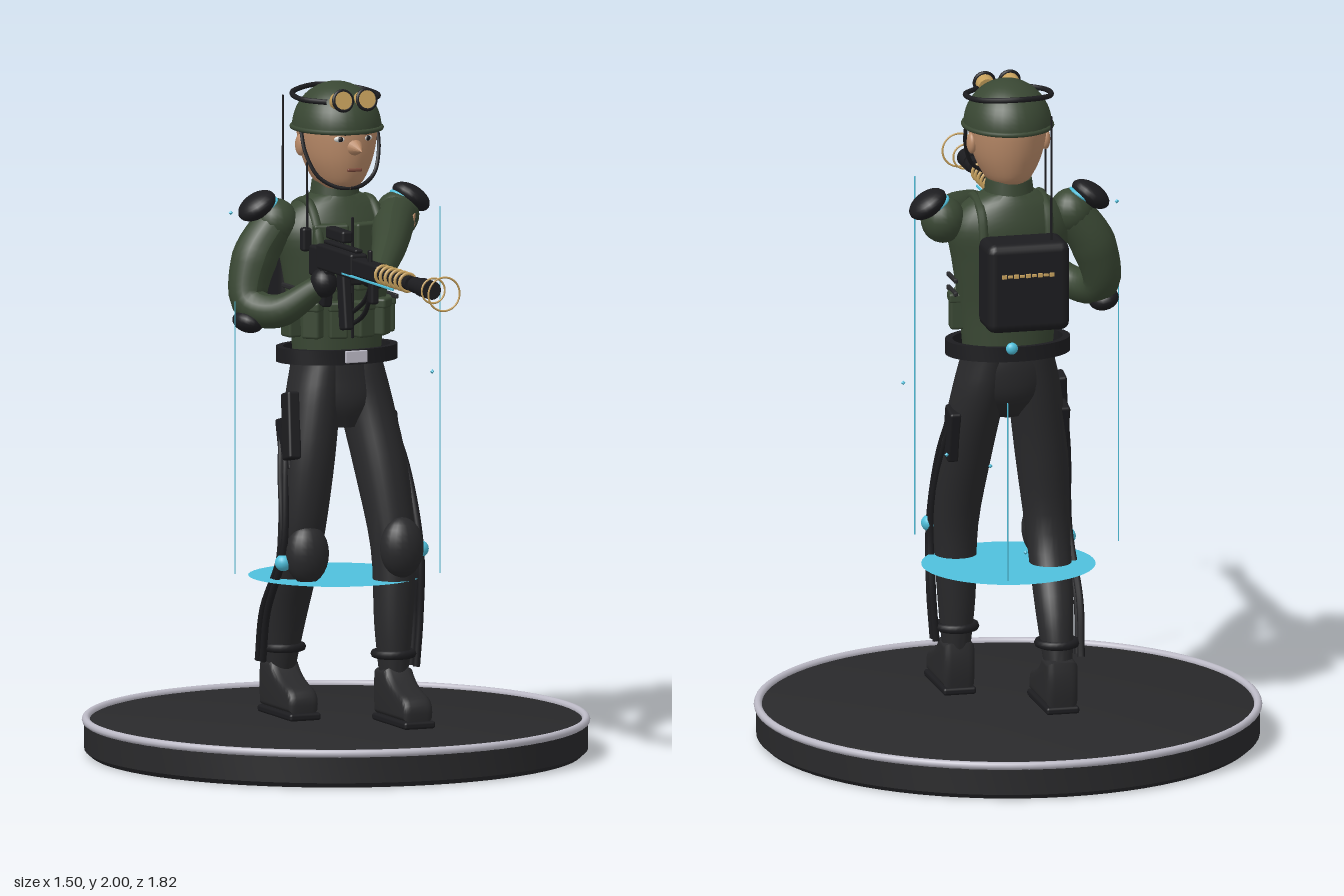
import * as THREE from 'three';
import { toCreasedNormals } from 'three/addons/utils/BufferGeometryUtils.js';
import { RoundedBoxGeometry } from 'three/addons/geometries/RoundedBoxGeometry.js';

const mat = (name, color, side = THREE.FrontSide) => Object.assign(new THREE.MeshStandardMaterial({ color, side }), { name });
const GREEN = mat('olive cloth', 0x394733), DARK = mat('charcoal cloth', 0x29292b), BLACK = mat('black metal', 0x1c1c1f);
const SKIN = mat('skin', 0xb98a68), GOLD = mat('brass', 0xc6a05c), RIM = mat('pale metal', 0xbcbac6);
const CYAN = mat('cyan glow', 0x4fc0dc, THREE.DoubleSide), WHITE = mat('eye white', 0xd8d8d4), LIP = mat('lips', 0x7c4a3c);

const V = (a) => new THREE.Vector3(...a);
const box = (w, h, d, r = 0.008) => new RoundedBoxGeometry(w, h, d, 2, Math.min(r, w / 2.1, h / 2.1, d / 2.1));
const ball = (x, y, z) => new THREE.SphereGeometry(1, 20, 14).scale(x, y, z);
const rod = (r, len, r2 = r, n = 18) => new THREE.CylinderGeometry(r2, r, len, n).rotateX(Math.PI / 2);
const tube = (pts, r, n = 28) => new THREE.TubeGeometry(new THREE.CatmullRomCurve3(pts.map(V)), n, r, 8);

// Smooth body of horizontal ellipses; each section is [x, y, z, radiusX, radiusZ], bottom first
function loft(sections) {
  const centre = new THREE.CatmullRomCurve3(sections.map((s) => V(s.slice(0, 3))), false, 'catmullrom');
  const radius = new THREE.CatmullRomCurve3(sections.map((s) => V([s[3], s[4], 0])), false, 'catmullrom');
  const g = new THREE.CylinderGeometry(1, 1, 1, 28, (sections.length - 1) * 4);
  const p = g.attributes.position;
  for (let i = 0; i < p.count; i++) {
    const t = Math.min(1, Math.max(0, p.getY(i) + 0.5));
    const c = centre.getPoint(t), r = radius.getPoint(t);
    p.setXYZ(i, c.x + p.getX(i) * r.x, c.y, c.z + p.getZ(i) * r.y);
  }
  return toCreasedNormals(g, 0.9);
}

// Tube whose radius changes along its path
function limb(pts, radii, n = 24) {
  const curve = new THREE.CatmullRomCurve3(pts.map(V));
  const g = new THREE.TubeGeometry(curve, n, 1, 16);
  const p = g.attributes.position, v = new THREE.Vector3();
  for (let i = 0; i < p.count; i++) {
    const t = Math.floor(i / 17) / n, c = curve.getPointAt(t);
    const f = t * (radii.length - 1), k = Math.min(radii.length - 2, Math.floor(f));
    const r = THREE.MathUtils.lerp(radii[k], radii[k + 1], f - k);
    v.fromBufferAttribute(p, i).sub(c).multiplyScalar(r).add(c);
    p.setXYZ(i, v.x, v.y, v.z);
  }
  g.computeVertexNormals();
  return g;
}

export function createModel() {
  const root = new THREE.Group();
  root.name = 'soldierFigure';
  let group = root;
  const part = (name) => { group = new THREE.Group(); group.name = name; root.add(group); return group; };
  const add = (name, geo, material, pos = [0, 0, 0], rot = [0, 0, 0]) => {
    const m = new THREE.Mesh(geo, material);
    m.name = name;
    m.position.set(...pos);
    m.rotation.set(...rot);
    group.add(m);
    return m;
  };
  const sides = [1, -1];

  // Display base and rim
  part('base').position.z = -0.16;
  const profile = [[0, 0], [0.725, 0], [0.742, 0.015], [0.742, 0.095], [0.73, 0.1], [0, 0.1]].map((a) => new THREE.Vector2(...a));
  add('baseDisc', toCreasedNormals(new THREE.LatheGeometry(profile, 72), 0.5), DARK);
  add('baseRim', new THREE.TorusGeometry(0.737, 0.012, 10, 80).rotateX(Math.PI / 2), RIM, [0, 0.102, 0]);

  // Floating glow disc, thin beams and sparks
  part('glow');
  add('glowDisc', new THREE.CircleGeometry(0.257, 48).rotateX(-Math.PI / 2), CYAN, [0, 0.53, -0.165]);
  [[0.215, 0.115, 1.65], [-0.35, -0.1, 1.37], [0.08, -0.48, 1.1]].forEach(([x, z, top]) =>
    add('beam', new THREE.CylinderGeometry(0.002, 0.002, top - 0.56, 6), CYAN, [x, (top + 0.56) / 2, z]));
  [[0.33, 1.11, -0.21], [0.26, 0.95, -0.46], [0.05, 0.67, -0.58], [0.13, 0.91, -0.47], [-0.32, 1.62, -0.2]].forEach((p) =>
    add('spark', new THREE.OctahedronGeometry(0.007), CYAN, p));

  // Legs, boots and leg braces
  part('legs');
  add('pelvis', loft([[0, 0.98, -0.13, 0.05, 0.06], [0, 1.05, -0.145, 0.125, 0.1], [0, 1.13, -0.155, 0.14, 0.105], [0, 1.2, -0.155, 0.13, 0.1]]), DARK);
  const boot = new THREE.Shape();
  boot.moveTo(-0.04, 0.145);
  boot.lineTo(0.165, 0.145);
  boot.quadraticCurveTo(0.175, 0.185, 0.12, 0.195);
  boot.quadraticCurveTo(0.05, 0.215, 0.02, 0.255);
  boot.lineTo(-0.04, 0.25);
  boot.quadraticCurveTo(-0.05, 0.2, -0.04, 0.145);
  const bootGeo = new THREE.ExtrudeGeometry(boot, { depth: 0.05, bevelSize: 0.016, bevelThickness: 0.022, bevelSegments: 4, curveSegments: 8 })
    .translate(0, 0, -0.025).rotateY(-Math.PI / 2);
  for (const s of sides) {
    const front = s > 0;
    const [ankle, calf, knee, thigh] = front ? [-0.01, -0.012, -0.025, -0.08] : [-0.295, -0.245, -0.14, -0.125];
    const x = (v) => s * v;
    add('leg', loft([[x(0.12), 0.23, ankle, 0.04, 0.045], [x(0.12), 0.4, calf, 0.056, 0.06], [x(0.125), 0.62, knee, 0.066, 0.068],
      [x(0.11), 0.85, thigh, 0.078, 0.09], [x(0.085), 1.05, -0.14, 0.078, 0.1], [x(0.065), 1.17, -0.155, 0.07, 0.1]]), DARK);
    add('kneePad', ball(0.066, 0.09, 0.055), DARK, [x(0.127), front ? 0.63 : 0.61, knee + 0.06]);
    const footZ = front ? 0 : -0.295;
    add('boot', toCreasedNormals(bootGeo, 0.6), DARK, [x(0.12), 0, footZ]);
    add('sole', box(0.1, 0.022, 0.25), BLACK, [x(0.12), 0.12, footZ + 0.065]);
    add('ankleRing', new THREE.TorusGeometry(0.055, 0.013, 8, 24).rotateX(Math.PI / 2), BLACK, [x(0.12), 0.31, calf + (ankle - calf) * 0.6]);
    for (const d of [0, 0.035])
      add('legBrace', tube([[x(0.165), 1, -0.18 + d], [x(0.185), 0.85, thigh - 0.015 + d], [x(0.195), 0.62, knee + 0.025 + d / 2],
        [x(0.195), 0.42, calf - 0.01 + d], [x(0.185), 0.27, ankle - 0.015 + d]], 0.011), BLACK);
    add('kneeJoint', ball(0.025, 0.025, 0.025), CYAN, [x(0.195), front ? 0.62 : 0.585, knee + 0.04]);
    add('thighPouch', box(0.035, 0.16, 0.075), BLACK, [x(0.165), 0.93, -0.14], [-0.25, 0, 0]);
  }
  add('holster', box(0.04, 0.2, 0.06), BLACK, [-0.17, 0.99, -0.1], [-0.25, 0, -0.08]);

  // Torso, vest and belt
  part('torso');
  add('jacket', loft([[0, 1.19, -0.155, 0.135, 0.098], [0, 1.32, -0.155, 0.148, 0.1], [0, 1.46, -0.16, 0.17, 0.11],
    [0, 1.56, -0.165, 0.185, 0.11], [0, 1.63, -0.17, 0.14, 0.09], [0, 1.67, -0.17, 0.07, 0.07]]), GREEN);
  add('collar', new THREE.CylinderGeometry(0.068, 0.08, 0.09, 24), GREEN, [0, 1.66, -0.17]);
  const band = [[1, -0.022], [1, 0.022], [0.88, 0.022], [0.88, -0.022], [1, -0.022]].map((a) => new THREE.Vector2(...a));
  add('belt', toCreasedNormals(new THREE.LatheGeometry(band, 48), 0.6).scale(0.187, 1, 0.132), BLACK, [0, 1.195, -0.155]);
  add('buckle', box(0.07, 0.036, 0.012, 0.003), RIM, [0.005, 1.197, -0.021]);
  add('beltLight', ball(0.018, 0.018, 0.014), CYAN, [0.02, 1.215, -0.29]);
  for (const s of sides) {
    add('chestPanel', box(0.105, 0.2, 0.04), GREEN, [s * 0.06, 1.49, -0.06], [0, s * 0.25, 0]);
    add('vestStrap', tube([[s * 0.09, 1.42, -0.045], [s * 0.1, 1.56, -0.055], [s * 0.1, 1.645, -0.13], [s * 0.1, 1.62, -0.24], [s * 0.1, 1.5, -0.28]], 0.014), GREEN);
    for (const a of [0.27, 0.8, 1.45]) {
      const p = [s * 0.152 * Math.sin(a), 1.3, -0.155 + 0.108 * Math.cos(a)];
      add('pouch', box(0.056, 0.1, 0.045), GREEN, p, [0, s * a, 0]);
      add('pouchFlap', box(0.06, 0.03, 0.052), GREEN, [p[0], 1.345, p[2]], [0, s * a, 0]);
    }
    for (const y of [1.36, 1.4]) add('sideStrap', box(0.012, 0.014, 0.1, 0.004), DARK, [s * 0.162, y, -0.13]);
  }
  add('zipper', box(0.008, 0.36, 0.008, 0.002), BLACK, [0, 1.43, -0.038]);
  add('chestRadio', box(0.09, 0.06, 0.035), BLACK, [0.015, 1.44, -0.03]);
  add('chestAntenna', new THREE.CylinderGeometry(0.003, 0.004, 0.22, 8), BLACK, [-0.142, 1.67, -0.045]);
  add('antennaBase', box(0.03, 0.07, 0.03), BLACK, [-0.142, 1.55, -0.055]);

  // Backpack
  part('backpack');
  add('pack', box(0.25, 0.27, 0.145, 0.028), BLACK, [-0.005, 1.425, -0.338]);
  for (let i = 0; i < 9; i++) add('packTrim', box(0.015, i % 2 ? 0.009 : 0.013, 0.006, 0.002), GOLD, [-0.072 + i * 0.018, 1.465, -0.411]);
  add('packAntenna', new THREE.CylinderGeometry(0.003, 0.004, 0.4, 8), BLACK, [-0.08, 1.735, -0.37]);

  // Head and helmet
  part('head');
  add('face', loft([[0, 1.69, -0.145, 0.05, 0.08], [0, 1.715, -0.148, 0.072, 0.107], [0, 1.77, -0.15, 0.098, 0.128],
    [0, 1.83, -0.153, 0.112, 0.138], [0, 1.88, -0.155, 0.115, 0.138], [0, 1.92, -0.155, 0.1, 0.12]]), SKIN);
  add('nose', new THREE.ConeGeometry(0.026, 0.055, 14).rotateX(Math.PI / 2), SKIN, [0, 1.816, 0.005], [0.12, 0, 0]);
  add('mouth', box(0.046, 0.01, 0.01, 0.004), LIP, [0, 1.752, -0.022]);
  for (const s of sides) {
    add('eye', ball(0.017, 0.009, 0.007), WHITE, [s * 0.045, 1.845, -0.029], [0, s * 0.3, 0]);
    add('pupil', ball(0.008, 0.008, 0.005), BLACK, [s * 0.044, 1.845, -0.024], [0, s * 0.3, 0]);
    add('brow', box(0.042, 0.008, 0.01, 0.003), BLACK, [s * 0.047, 1.862, -0.025], [0, s * 0.4, s * 0.1]);
    add('ear', ball(0.014, 0.032, 0.024), SKIN, [s * 0.112, 1.815, -0.165]);
    add('chinStrap', tube([[s * 0.122, 1.87, -0.14], [s * 0.118, 1.8, -0.115], [s * 0.09, 1.73, -0.085], [s * 0.04, 1.698, -0.065], [0, 1.693, -0.06]], 0.006), BLACK);
    add('goggleLens', rod(0.027, 0.045), GOLD, [s * 0.038, 1.957, -0.037], [-0.2, 0, 0]);
    add('goggleFrame', new THREE.TorusGeometry(0.029, 0.006, 8, 24), BLACK, [s * 0.038, 1.96, -0.02], [-0.2, 0, 0]);
  }
  add('helmet', new THREE.SphereGeometry(1, 32, 14, 0, Math.PI * 2, 0, Math.PI / 2).scale(0.13, 0.137, 0.146), GREEN, [0, 1.863, -0.155]);
  add('helmetRim', new THREE.TorusGeometry(1, 0.06, 8, 40).rotateX(Math.PI / 2).scale(0.129, 0.12, 0.145), GREEN, [0, 1.865, -0.155]);
  add('helmetBand', tube([[0.07, 1.952, -0.06], [0.122, 1.955, -0.13], [0.105, 1.963, -0.24], [0, 1.972, -0.298],
    [-0.105, 1.963, -0.24], [-0.122, 1.955, -0.13], [-0.07, 1.952, -0.06]], 0.008, 48), BLACK);

  // Arms: right one bent to the grip, left one reaching to the fore-end
  part('arms');
  const right = [[-0.19, 1.59, -0.17], [-0.255, 1.49, -0.17], [-0.285, 1.36, -0.14], [-0.23, 1.34, -0.06], [-0.13, 1.42, 0.02]];
  const left = [[0.2, 1.59, -0.17], [0.14, 1.575, -0.06], [0.04, 1.54, 0.14], [-0.06, 1.49, 0.31]];
  add('rightSleeve', limb(right, [0.062, 0.068, 0.055, 0.048, 0.035]), GREEN);
  add('leftSleeve', limb(left, [0.062, 0.06, 0.05, 0.036]), GREEN);
  add('rightShoulder', ball(0.066, 0.07, 0.066), GREEN, right[0]);
  add('leftShoulder', ball(0.066, 0.07, 0.066), GREEN, left[0]);
  add('rightGlove', ball(0.04, 0.045, 0.045), BLACK, [-0.122, 1.43, 0.03]);
  add('leftGlove', ball(0.045, 0.036, 0.045), BLACK, [-0.085, 1.485, 0.325]);
  add('elbowPad', ball(0.045, 0.032, 0.055), BLACK, [-0.3, 1.305, -0.12], [0, 0, -0.3]);
  add('sleevePatch', box(0.05, 0.035, 0.008, 0.002), SKIN, [0.212, 1.585, -0.075], [0, 1.09, 0]);
  for (const s of sides) {
    add('shoulderPad', ball(0.062, 0.034, 0.062), BLACK, [s * 0.247, 1.64, -0.175], [0, 0, -s * 0.6]);
    add('shoulderGlow', new THREE.TorusGeometry(0.04, 0.006, 8, 24).rotateX(Math.PI / 2), CYAN, [s * 0.222, 1.635, -0.175], [0, 0, -s * 0.6]);
  }

  // Rifle, pointing forward
  part('rifle').position.set(-0.115, 1.51, 0);
  add('stock', box(0.045, 0.09, 0.1), BLACK, [0, -0.02, 0]);
  add('receiver', box(0.055, 0.075, 0.26), BLACK, [0, 0, 0.15]);
  add('handguard', box(0.046, 0.052, 0.2), BLACK, [0, 0, 0.36]);
  add('barrel', rod(0.022, 0.24), BLACK, [0, 0, 0.55]);
  add('barrelNeck', rod(0.014, 0.06), BLACK, [0, 0, 0.68]);
  add('muzzle', rod(0.028, 0.075), BLACK, [0, 0, 0.785]);
  add('muzzleCollar', rod(0.024, 0.05), BLACK, [0, 0, 0.72]);
  for (let i = 0; i < 6; i++) add('barrelRing', new THREE.TorusGeometry(0.026, 0.005, 8, 24), GOLD, [0, 0, 0.46 + i * 0.036]);
  [[0.83, 0.037], [0.91, 0.05]].forEach(([z, r]) => add('muzzleHalo', new THREE.TorusGeometry(r, 0.003, 8, 36), GOLD, [0, 0, z]));
  add('sightRail', box(0.025, 0.012, 0.24), BLACK, [0, 0.045, 0.16]);
  add('scope', box(0.035, 0.036, 0.13), BLACK, [0, 0.076, 0.13]);
  add('frontSight', box(0.012, 0.04, 0.02), BLACK, [0, 0.04, 0.36]);
  add('magazine', box(0.03, 0.18, 0.05), BLACK, [0.01, -0.115, 0.15], [-0.14, 0, 0]);
  add('grip', box(0.032, 0.12, 0.04), BLACK, [0, -0.09, 0.035], [0.2, 0, 0]);
  add('foregrip', box(0.026, 0.075, 0.03), BLACK, [0, -0.06, 0.385]);
  for (const s of sides) add('glowStrip', box(0.006, 0.007, 0.38, 0.002), CYAN, [s * 0.025, -0.027, 0.4]);
  for (const d of [0, 0.035])
    add('cable', tube([[0.02, -0.03, 0.33], [0.035, -0.1 - d, 0.25], [0.045, -0.155 - d, 0.13], [0.06, -0.185 - d / 2, 0.02], [0.08, -0.16, -0.05]], 0.007), BLACK);

  return root;
}
